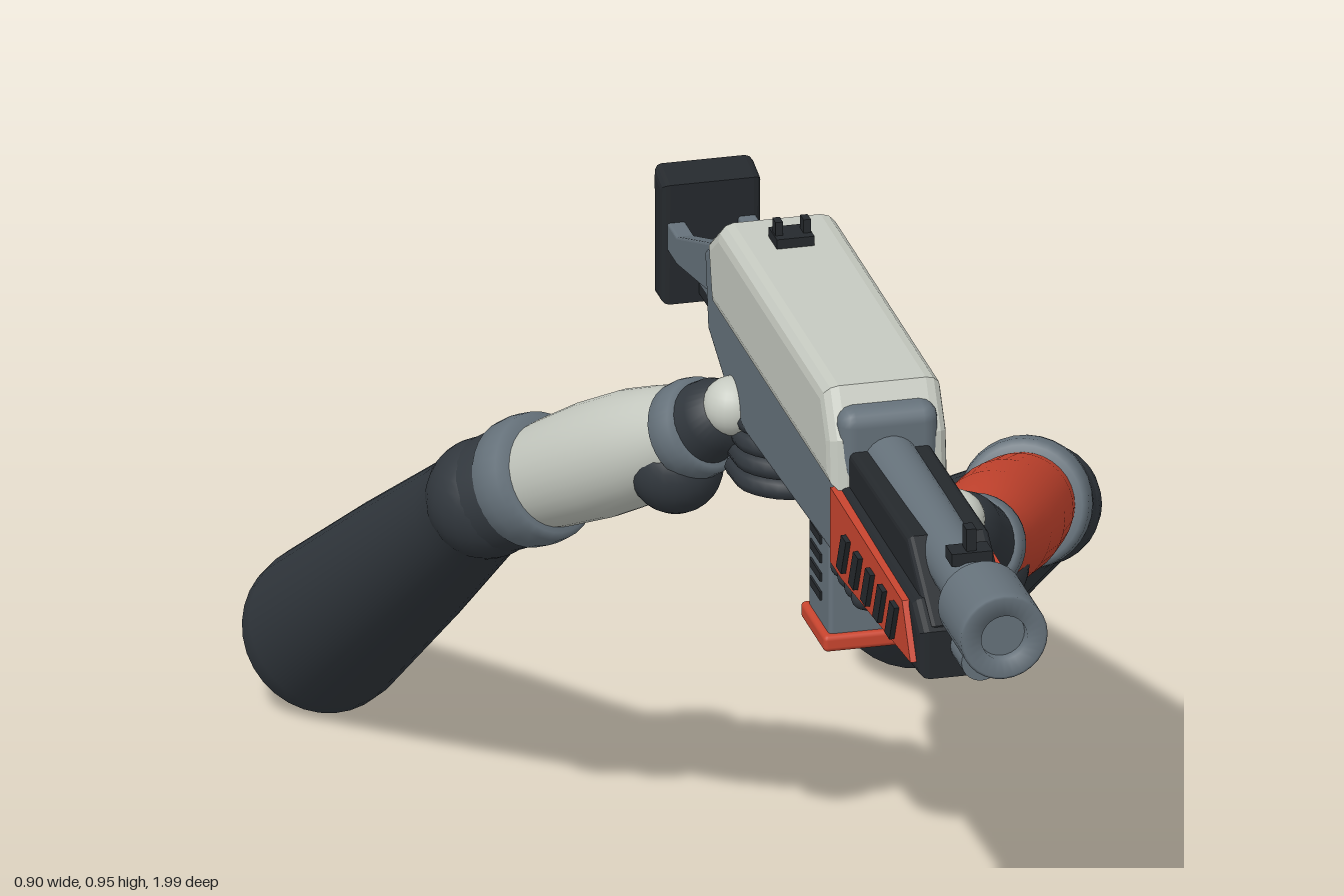
import * as THREE from 'three';
import { RoundedBoxGeometry } from 'three/addons/geometries/RoundedBoxGeometry.js';

const material = (name, color) => {
  const m = new THREE.MeshStandardMaterial({ color });
  m.name = name;
  return m;
};
const V = (x, y, z) => new THREE.Vector3(x, y, z);
const CX = -0.008; // centre line of the gun

export function createModel() {
  const white = material('off white', 0xc6cac1);
  const red = material('red', 0xc9452f);
  const dark = material('dark grey', 0x32383e);
  const black = material('black', 0x25292d);
  const steel = material('steel grey', 0x66727b);
  const yellow = material('yellow', 0xb9bd28);

  const model = new THREE.Group();
  model.name = 'gunWithArms';
  const gun = new THREE.Group();
  gun.name = 'gun';
  gun.position.x = CX;
  model.add(gun);

  const add = (parent, name, geometry, mat, pos) => {
    const mesh = new THREE.Mesh(geometry, mat);
    mesh.name = name;
    if (pos) mesh.position.copy(pos);
    parent.add(mesh);
    return mesh;
  };
  const box = (name, w, h, d, x, y, z, mat, r = 0) =>
    add(gun, name, r ? new RoundedBoxGeometry(w, h, d, 2, r) : new THREE.BoxGeometry(w, h, d), mat, V(x, y, z));

  // Side outline given as (z, y) pairs, extruded across x
  const slab = (name, outline, width, x, mat, bevel = 0) => {
    const shape = new THREE.Shape(outline.map(([z, y]) => new THREE.Vector2(z, y)));
    const g = new THREE.ExtrudeGeometry(shape, {
      depth: width - 2 * bevel, bevelEnabled: bevel > 0, bevelSize: bevel,
      bevelThickness: bevel, bevelOffset: -bevel, bevelSegments: 3,
    });
    g.translate(0, 0, bevel - width / 2);
    g.rotateY(-Math.PI / 2);
    return add(gun, name, g, mat, V(x, 0, 0));
  };
  const tube = (name, r, z0, z1, y, mat) => {
    const g = new THREE.CylinderGeometry(r, r, z1 - z0, 28);
    g.rotateX(Math.PI / 2);
    return add(gun, name, g, mat, V(0, y, (z0 + z1) / 2));
  };

  // Barrel, muzzle and lower tube
  tube('barrel', 0.034, 0.4, 0.9, 0.849, steel);
  tube('muzzle', 0.053, 0.89, 0.985, 0.849, steel);
  add(gun, 'muzzleRim', new THREE.LatheGeometry([
    [0.053, 0], [0.053, 0.014], [0.05, 0.015], [0.028, 0.015], [0.028, 0.001],
  ].map(([r, y]) => new THREE.Vector2(r, y)), 28).rotateX(Math.PI / 2), steel, V(0, 0.849, 0.985));
  tube('lowerTube', 0.025, 0.6, 0.893, 0.775, steel);
  box('frontSightBase', 0.05, 0.016, 0.03, 0, 0.887, 0.832, black);
  box('frontSightPost', 0.012, 0.03, 0.02, 0, 0.908, 0.832, black);

  // Handguard with a narrow upper half, red side panels and raised slots
  slab('handguard', [[0.84, 0.735], [0.84, 0.795], [0.8, 0.822], [0.43, 0.822], [0.43, 0.708], [0.5, 0.708]],
    0.125, 0, black, 0.012);
  slab('handguardTop', [[0.835, 0.78], [0.835, 0.8], [0.73, 0.872], [0.43, 0.866], [0.43, 0.78]], 0.1, 0, black, 0.008);
  for (const s of [-1, 1]) {
    slab('redPanel', [[0.825, 0.752], [0.785, 0.815], [0.44, 0.818], [0.44, 0.722], [0.49, 0.722]], 0.014, s * 0.063, red);
    for (let i = 0; i < 5; i++) {
      const z = 0.755 - i * 0.058, y = 0.75 - i * 0.003;
      slab('panelSlot', [[z - 0.032, y], [z - 0.008, y], [z + 0.016, y + 0.05], [z - 0.008, y + 0.05]], 0.012, s * 0.07, black);
    }
  }

  // Receiver
  slab('upperReceiver', [[0.455, 0.815], [0.45, 0.88], [0.415, 0.936], [-0.09, 0.936], [-0.15, 0.893], [-0.13, 0.815]],
    0.146, 0, white, 0.02);
  slab('lowerReceiver', [[0.45, 0.84], [-0.14, 0.84], [-0.165, 0.88], [-0.215, 0.85], [-0.2, 0.755],
    [-0.1, 0.71], [-0.02, 0.694], [0.45, 0.715]], 0.115, 0, steel, 0.008);
  box('frontCollar', 0.122, 0.095, 0.08, 0, 0.868, 0.417, steel, 0.02);
  box('ejectionPort', 0.008, 0.056, 0.14, 0.0735, 0.883, 0.1, black);
  box('boltKnob', 0.028, 0.017, 0.05, 0.079, 0.823, -0.03, yellow, 0.006);

  // Rear sight
  box('rearSightBase', 0.046, 0.014, 0.04, 0, 0.941, -0.02, black);
  for (const s of [-1, 1]) box('rearSightProng', 0.009, 0.024, 0.016, s * 0.017, 0.953, -0.02, black);

  // Magazine
  box('magazine', 0.084, 0.16, 0.1, 0, 0.65, 0.275, steel, 0.006);
  box('magazineBase', 0.1, 0.021, 0.115, 0, 0.568, 0.275, red, 0.006);
  for (const s of [-1, 1])
    for (let i = 0; i < 4; i++) box('magazineSlot', 0.005, 0.011, 0.05, s * 0.042, 0.685 - i * 0.024, 0.265, black);

  // Grip and trigger
  slab('grip', [[0, 0.715], [-0.1, 0.715], [-0.115, 0.615], [-0.045, 0.605]], 0.07, 0, black, 0.012);
  const guard = new THREE.CatmullRomCurve3([V(0, 0.705, 0.1), V(0, 0.668, 0.08), V(0, 0.658, 0.03), V(0, 0.668, -0.02)]);
  add(gun, 'triggerGuard', new THREE.TubeGeometry(guard, 12, 0.007, 8), black);
  box('trigger', 0.012, 0.04, 0.012, 0, 0.687, 0.035, black);

  // Open stock
  for (const s of [-1, 1])
    slab('stockStrut', [[-0.15, 0.876], [-0.19, 0.868], [-0.36, 0.806], [-0.42, 0.806], [-0.42, 0.77], [-0.36, 0.77], [-0.2, 0.8]],
      0.022, s * 0.043, steel, 0.003);
  box('stockRod', 0.03, 0.014, 0.28, 0, 0.718, -0.28, black);
  slab('stockBrace', [[-0.17, 0.735], [-0.2, 0.75], [-0.4, 0.735], [-0.4, 0.723]], 0.03, 0, steel);
  slab('buttPad', [[-0.4, 0.855], [-0.445, 0.865], [-0.445, 0.7], [-0.405, 0.7]], 0.122, 0, black, 0.01);

  // Turned shape between two points; profile is (fraction of length, radius)
  const limb = (parent, name, a, b, profile, mat) => {
    const axis = b.clone().sub(a), length = axis.length();
    const g = new THREE.LatheGeometry(profile.map(([t, r]) => new THREE.Vector2(r, t * length)), 32);
    const mesh = add(parent, name, g, mat, a);
    mesh.quaternion.setFromUnitVectors(V(0, 1, 0), axis.normalize());
    return mesh;
  };
  const ringAt = (parent, name, p, dir, r, w) => limb(parent, name,
    p.clone().addScaledVector(dir, -w / 2), p.clone().addScaledVector(dir, w / 2),
    [[0, r - 0.03], [0, r - 0.009], [0.15, r - 0.002], [0.5, r], [0.85, r - 0.002], [1, r - 0.009], [1, r - 0.03]], steel);
  const ball = (parent, name, r, p, mat) => add(parent, name, new THREE.SphereGeometry(r, 24, 16), mat, p);

  const makeArm = (name, side, hand, wrist, cuff, elbow, end, shellMat) => {
    const arm = new THREE.Group();
    arm.name = name;
    model.add(arm);
    const dir = cuff.clone().sub(wrist).normalize();
    ball(arm, 'knucklePad', 0.036, hand, white);
    limb(arm, 'wrist', hand, wrist, [[0, 0], [0, 0.032], [0.4, 0.046], [1, 0.052]], dark);
    ringAt(arm, 'wristRing', wrist, dir, 0.061, 0.05);
    limb(arm, 'forearmShell', wrist, cuff,
      [[0, 0.05], [0.15, 0.062], [0.35, 0.07], [0.6, 0.071], [0.85, 0.066], [1, 0.06]], shellMat);
    // Dark padding on the inner underside of the forearm
    ball(arm, 'forearmPad', 0.057, wrist.clone().lerp(cuff, 0.2).add(V(-side * 0.01, -0.027, 0.022)), dark);
    ringAt(arm, 'elbowRing', cuff, dir, 0.08, 0.06);
    limb(arm, 'elbowCuff', cuff, elbow, [[0, 0.068], [0.5, 0.073], [1, 0.07]], dark);
    ball(arm, 'elbow', 0.073, elbow, dark);
    limb(arm, 'upperArm', elbow, end,
      [[0, 0.07], [0.1, 0.07], [0.5, 0.087], [0.93, 0.101], [0.98, 0.1], [0.998, 0.094], [1, 0.088], [1, 0]], dark);
    return arm;
  };
  const leftArm = makeArm('leftArm', 1, V(0.066, 0.775, 0.472), V(0.125, 0.68, 0.335), V(0.305, 0.522, -0.13),
    V(0.342, 0.485, -0.205), V(0.35, 0.105, -0.865), red);
  const rightArm = makeArm('rightArm', -1, V(-0.066, 0.708, -0.075), V(-0.095, 0.655, -0.14), V(-0.237, 0.515, -0.355),
    V(-0.283, 0.478, -0.4), V(-0.35, 0.087, -0.938), white);

  // Fingers wrapped under the handguard and around the grip
  for (let i = 0; i < 4; i++) {
    const z = 0.53 - i * 0.033, y = 0.7 - i * 0.025;
    const under = new THREE.CatmullRomCurve3([V(0.07, 0.745, z - 0.02), V(0.045, 0.705, z), V(-0.02, 0.7, z), V(-0.06, 0.712, z)]);
    add(leftArm, 'finger', new THREE.TubeGeometry(under, 12, 0.015, 8), dark);
    ball(leftArm, 'fingertip', 0.015, V(-0.06, 0.712, z), dark);
    const around = new THREE.CatmullRomCurve3([V(-0.06, y, -0.09), V(-0.052, y, -0.03), V(-0.01, y, 0), V(0.033, y, -0.03)]);
    add(rightArm, 'finger', new THREE.TubeGeometry(around, 12, 0.013, 8), dark);
    ball(rightArm, 'fingertip', 0.013, V(0.033, y, -0.03), dark);
  }
  return model;
}
